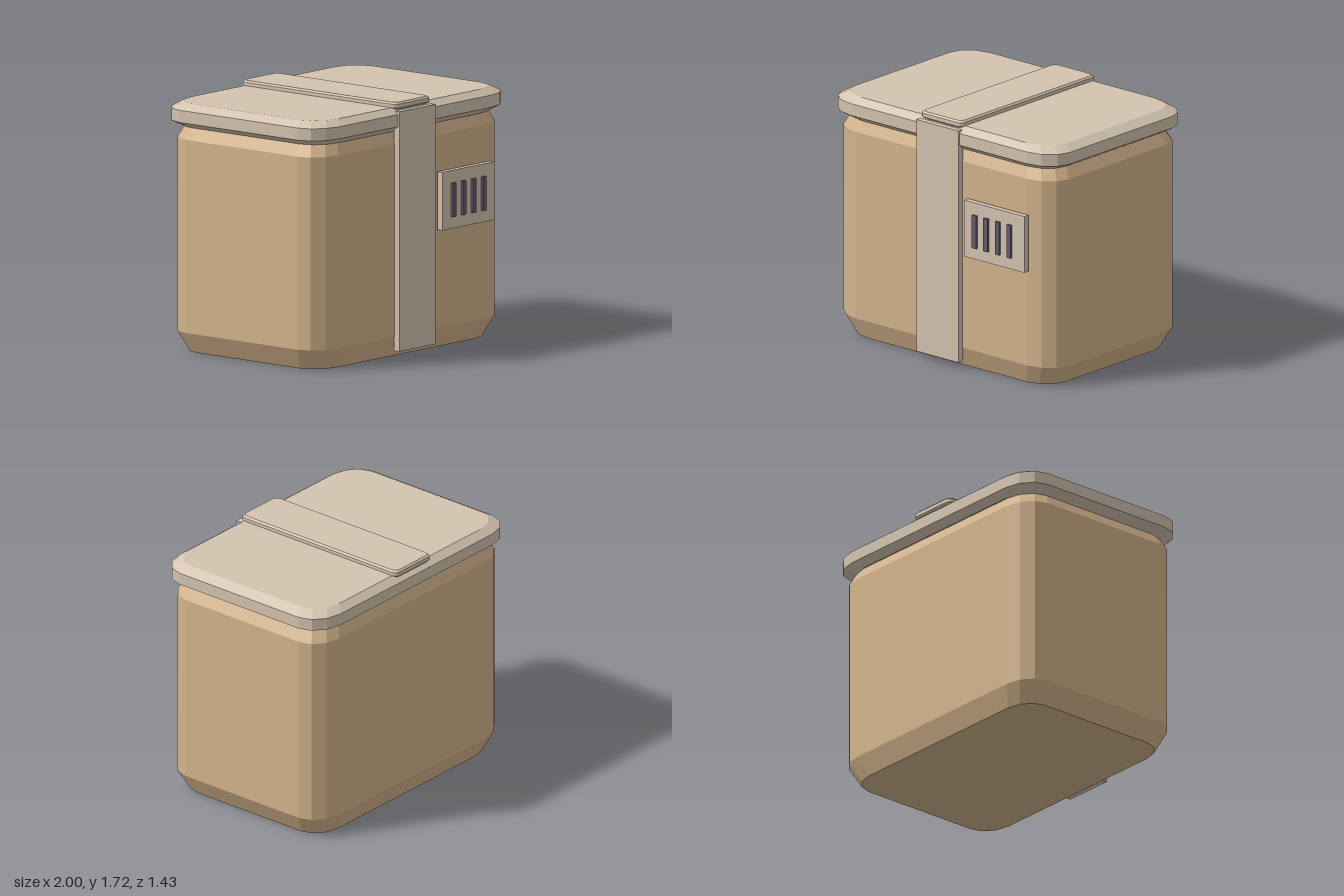
import * as THREE from 'three';

const mat = (name, color) => {
  const m = new THREE.MeshStandardMaterial({ color });
  m.name = name;
  return m;
};

// Rounded-rectangle outline with three-segment corners, counted from +x towards +z
function outline(hx, hz, rx, rz) {
  const pts = [];
  for (let q = 0; q < 4; q++) {
    const sx = q === 0 || q === 3 ? 1 : -1;
    const sz = q < 2 ? 1 : -1;
    for (let i = 0; i <= 3; i++) {
      const a = (q + i / 3) * Math.PI / 2;
      pts.push([sx * (hx - rx) + rx * Math.cos(a), sz * (hz - rz) + rz * Math.sin(a)]);
    }
  }
  return pts;
}

// Closed faceted solid through levels [y, inset in x, inset in z]
function loft(hx, hz, rx, rz, levels) {
  const rings = levels.map(([y, ix, iz]) => {
    const sx = (hx - ix) / hx, sz = (hz - iz) / hz;
    return outline(hx, hz, rx, rz).map(([x, z]) => [x * sx, y, z * sz]);
  });
  const n = rings[0].length, pos = [];
  const tri = (...p) => p.forEach(v => pos.push(...v));
  const bottom = [0, levels[0][0], 0];
  const top = [0, levels[levels.length - 1][0], 0];
  for (let j = 0; j < n; j++) {
    const k = (j + 1) % n;
    for (let i = 0; i < rings.length - 1; i++) {
      const lo = rings[i], hi = rings[i + 1];
      tri(lo[j], hi[j], lo[k]);
      tri(lo[k], hi[j], hi[k]);
    }
    tri(bottom, rings[0][j], rings[0][k]);
    const last = rings[rings.length - 1];
    tri(top, last[k], last[j]);
  }
  const geo = new THREE.BufferGeometry();
  geo.setAttribute('position', new THREE.Float32BufferAttribute(pos, 3));
  geo.computeVertexNormals();
  return geo;
}

export function createModel() {
  const model = new THREE.Group();
  model.name = 'storageBin';
  const tan = mat('tan', 0xd4b48c);
  const beige = mat('beige', 0xd4c4b0);
  const purple = mat('dusky purple', 0x655a6e);

  const add = (name, geo, material, x, y, z) => {
    const mesh = new THREE.Mesh(geo, material);
    mesh.name = name;
    mesh.position.set(x, y, z);
    model.add(mesh);
  };
  const box = (name, material, [x0, x1], [y0, y1], [z0, z1]) =>
    add(name, new THREE.BoxGeometry(x1 - x0, y1 - y0, z1 - z0), material,
      (x0 + x1) / 2, (y0 + y1) / 2, (z0 + z1) / 2);

  // Container with chamfered foot and neck
  add('body', loft(0.97, 0.666, 0.21, 0.175, [
    [0, 0.075, 0.057], [0.14, 0, 0], [1.44, 0, 0], [1.52, 0.045, 0.035],
  ]), tan, 0, 0, -0.02);

  // Overhanging lid
  add('lid', loft(1, 0.695, 0.22, 0.18, [
    [1.518, 0.07, 0.055], [1.558, 0, 0], [1.64, 0, 0], [1.68, 0.07, 0.055],
  ]), beige, 0, 0, -0.02);

  // Strap across the lid and down the front
  add('topStrap', loft(0.185, 0.675, 0.04, 0.04, [
    [1.665, 0.012, 0.012], [1.677, 0, 0], [1.703, 0, 0], [1.715, 0.012, 0.012],
  ]), beige, 0, 0, -0.02);
  box('frontStrap', beige, [-0.185, 0.185], [0.045, 1.66], [0.64, 0.687]);

  // Vent panel with four bars
  box('ventPanel', beige, [0.244, 0.779], [0.803, 1.195], [0.657, 0.699]);
  for (let i = 0; i < 4; i++) {
    const x = 0.348 + i * 0.102;
    box('ventBar', purple, [x - 0.018, x + 0.018], [0.883, 1.112], [0.685, 0.717]);
  }
  return model;
}
